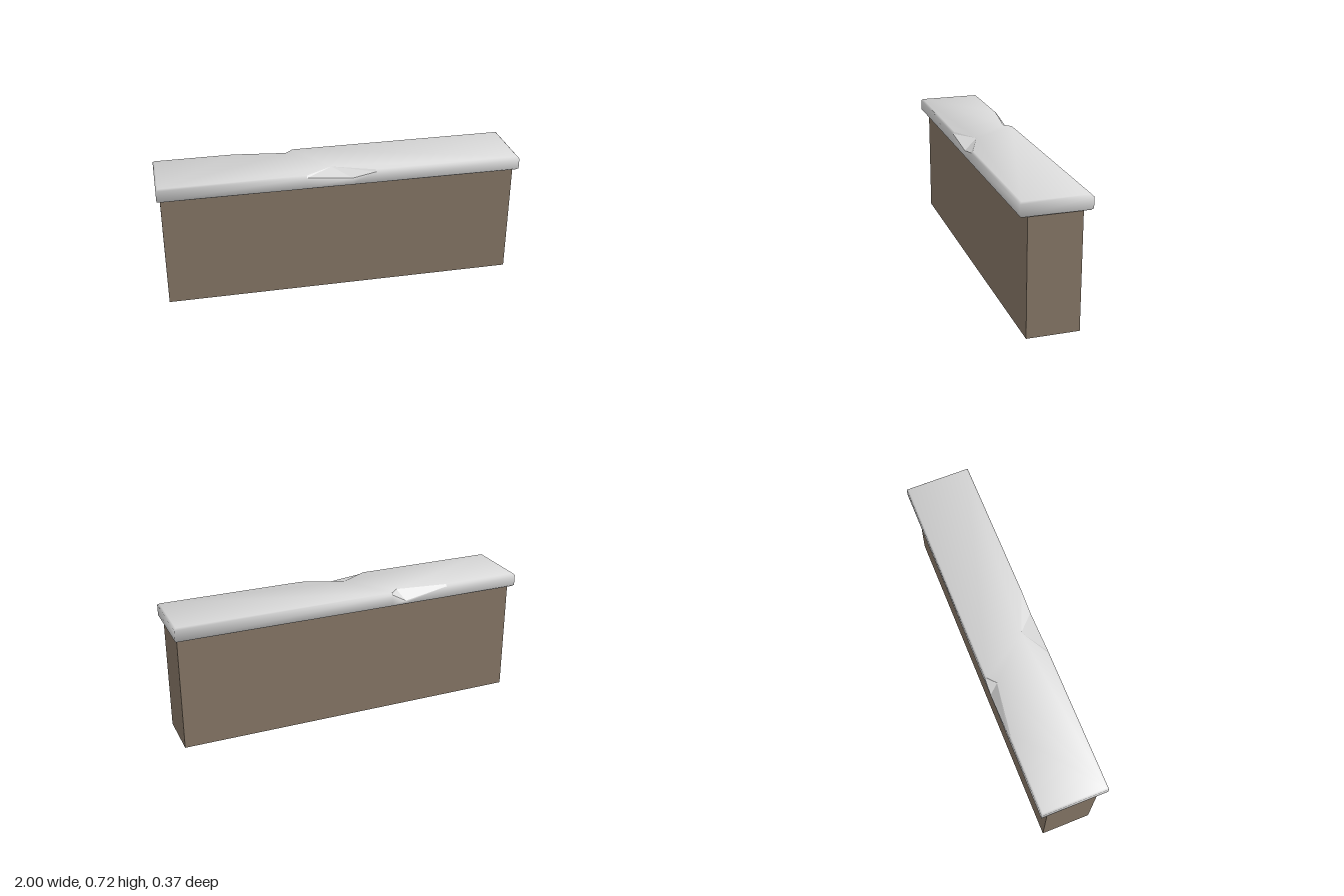
import * as THREE from 'three';

const X = 1, Z = 0.185, BOTTOM = 0.643, TOP = 0.722, BEVEL = 0.01;

// Outline of the coping, counterclockwise from above.
// Chips: low is the deepest point on the side face, inner the deepest point on the top face.
const outline = [
  { x: -X, z: Z },
  { x: -0.2, z: Z, chip: true },
  { x: 0.05, z: Z, chip: true, lowY: 0.687, inner: [-0.05, 0.09] },
  { x: 0.18, z: Z },
  { x: X, z: Z },
  { x: X, z: -Z },
  { x: -0.22, z: -Z, chip: true },
  { x: -0.3, z: -Z, chip: true, lowY: 0.667, inner: [-0.265, -0.135] },
  { x: -0.555, z: -Z },
  { x: -X, z: -Z },
];

// Rings from bottom to top: height, inset, and how far normals lean out and up
const rings = [
  { y: BOTTOM, inset: BEVEL, out: 0.38, up: -0.92 },
  { y: BOTTOM + BEVEL, inset: 0, out: 0.92, up: -0.38 },
  { y: TOP - BEVEL, inset: 0, out: 0.92, up: 0.38 },
  { y: TOP, inset: BEVEL, out: 0.38, up: 0.92 },
];

function ringPoint(p, r) {
  if (p.inner && r === 3) return new THREE.Vector3(p.inner[0], TOP, p.inner[1]);
  const { y, inset } = rings[r];
  const x = Math.abs(p.x) === X ? p.x - Math.sign(p.x) * inset : p.x;
  return new THREE.Vector3(x, p.inner && r === 2 ? p.lowY : y, p.z - Math.sign(p.z) * inset);
}

function copingGeometries() {
  const n = outline.length;
  const positions = [], normals = [], index = [], chips = [];
  const points = rings.map((ring, r) => outline.map((p) => {
    const v = ringPoint(p, r);
    const out = new THREE.Vector3(Math.abs(p.x) === X ? Math.sign(p.x) : 0, 0, Math.sign(p.z)).normalize();
    const normal = out.multiplyScalar(ring.out).setY(ring.up).normalize();
    positions.push(...v.toArray());
    normals.push(...normal.toArray());
    return v;
  }));
  // Sides and bevels; the broken parts of the top bevel become flat facets
  for (let r = 0; r < 3; r++) {
    for (let i = 0; i < n; i++) {
      const j = (i + 1) % n;
      if (r === 2 && outline[i].chip) {
        const a = points[2][i], b = points[2][j], c = points[3][j], d = points[3][i];
        const tris = outline[i].inner ? [a, b, d, b, c, d] : [a, b, c, a, c, d];
        tris.forEach((v) => chips.push(...v.toArray()));
      } else {
        const a = r * n + i, b = r * n + j;
        index.push(a, b, b + n, a, b + n, a + n);
      }
    }
  }
  // Top and underside
  const flat = (ring) => ring.map((v) => new THREE.Vector2(v.x, -v.z));
  for (const [a, b, c] of THREE.ShapeUtils.triangulateShape(flat(points[3]), [])) {
    index.push(3 * n + a, 3 * n + b, 3 * n + c);
  }
  index.push(0, 9, 5, 0, 5, 4);

  const body = new THREE.BufferGeometry();
  body.setAttribute('position', new THREE.Float32BufferAttribute(positions, 3));
  body.setAttribute('normal', new THREE.Float32BufferAttribute(normals, 3));
  body.setIndex(index);
  const broken = new THREE.BufferGeometry();
  broken.setAttribute('position', new THREE.Float32BufferAttribute(chips, 3));
  broken.computeVertexNormals();
  return { body, broken };
}

export function createModel() {
  const group = new THREE.Group();
  group.name = 'lowWall';
  const wallMaterial = new THREE.MeshStandardMaterial({ color: 0x857666, side: THREE.DoubleSide });
  wallMaterial.name = 'brown wall';
  const stoneMaterial = new THREE.MeshStandardMaterial({ color: 0xd8d8d8, side: THREE.DoubleSide });
  stoneMaterial.name = 'pale stone';

  const add = (name, geometry, material) => {
    const mesh = new THREE.Mesh(geometry, material);
    mesh.name = name;
    group.add(mesh);
  };

  // Wall: four sides only, open below
  const wall = new THREE.BoxGeometry(1.964, BOTTOM, 0.282).translate(0, BOTTOM / 2, 0);
  const faces = Array.from(wall.index.array);
  wall.setIndex([...faces.slice(0, 12), ...faces.slice(24)]);
  wall.clearGroups();
  add('wall', wall, wallMaterial);

  // Chipped coping slab
  const { body, broken } = copingGeometries();
  add('copingSlab', body, stoneMaterial);
  add('copingChips', broken, stoneMaterial);
  return group;
}
